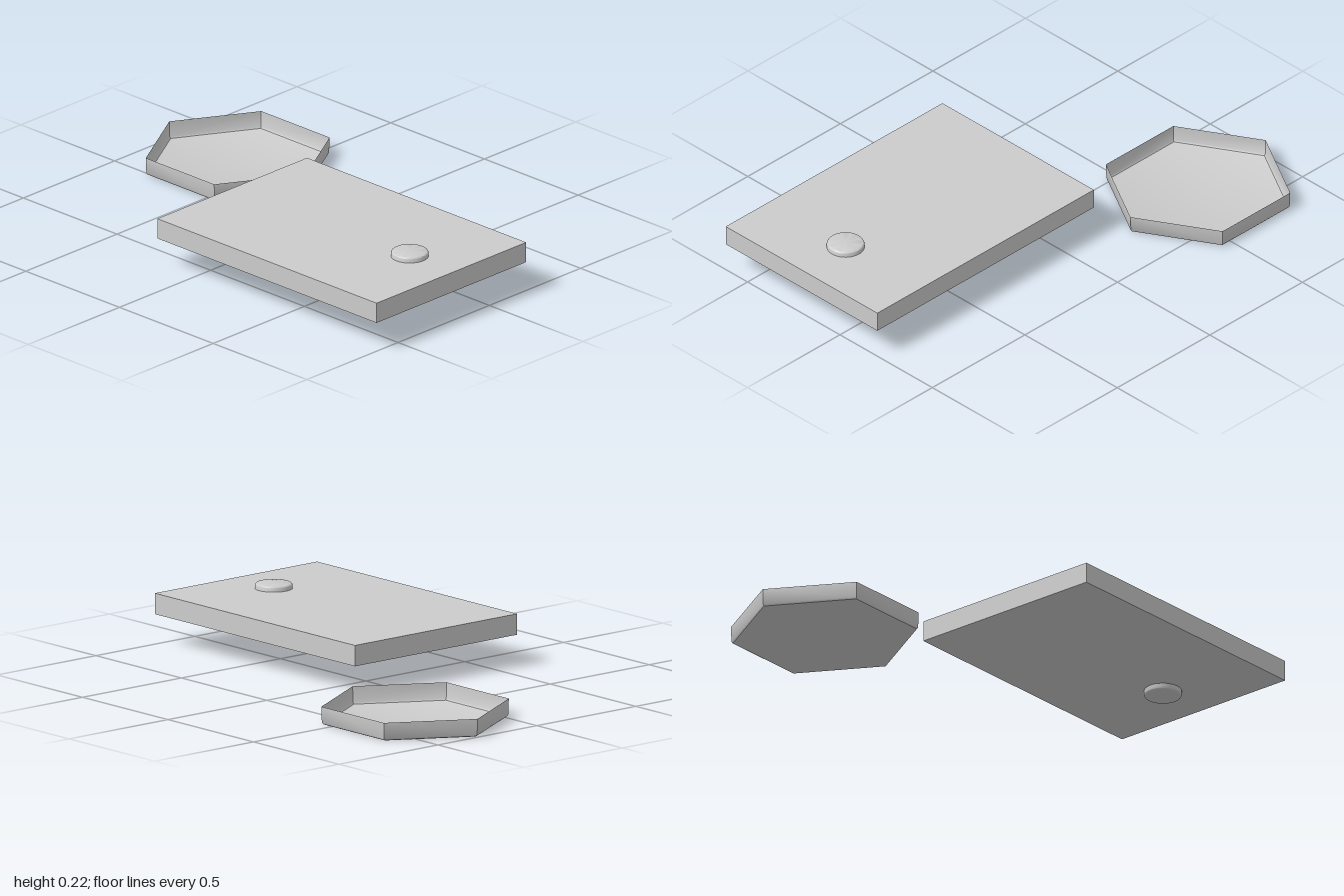
import * as THREE from 'three';
import { toCreasedNormals } from 'three/addons/utils/BufferGeometryUtils.js';

// Turn a [radius, height] profile into a solid of revolution with sharp creases.
function turned(profile, sides) {
  const points = profile.map(([r, y]) => new THREE.Vector2(r, y));
  return toCreasedNormals(new THREE.LatheGeometry(points, sides), 0.6);
}

export function createModel() {
  const group = new THREE.Group();
  const grey = new THREE.MeshStandardMaterial({ color: 0xcccccc, side: THREE.DoubleSide });
  grey.name = 'plain grey';

  const add = (name, geometry, x, y, z) => {
    const mesh = new THREE.Mesh(geometry, grey);
    mesh.name = name;
    mesh.position.set(x, y, z);
    group.add(mesh);
  };

  // Raised rectangular slab
  add('slab', new THREE.BoxGeometry(0.82, 0.082, 1.17), -0.208, 0.159, 0.415);

  // Round pin through the slab, with rounded rims at both ends
  const radius = 0.0725, half = 0.063, round = 0.01;
  const pin = [[0, -half]];
  for (const end of [-1, 1]) {
    for (let i = 0; i <= 4; i++) {
      const a = (end < 0 ? i - 4 : i) * Math.PI / 8;
      pin.push([radius - round + round * Math.cos(a), end * (half - round) + round * Math.sin(a)]);
    }
  }
  pin.push([0, half]);
  add('pin', turned(pin, 40), -0.2, 0.158, 0.77);

  // Open hexagonal tray with thin walls and a bevelled foot
  const tray = [[0.0001, 0], [0.35, 0], [0.358, 0.003], [0.363, 0.01], [0.365, 0.072]];
  add('hexTray', turned(tray, 6), 0.3, 0, -0.635);

  return group;
}
